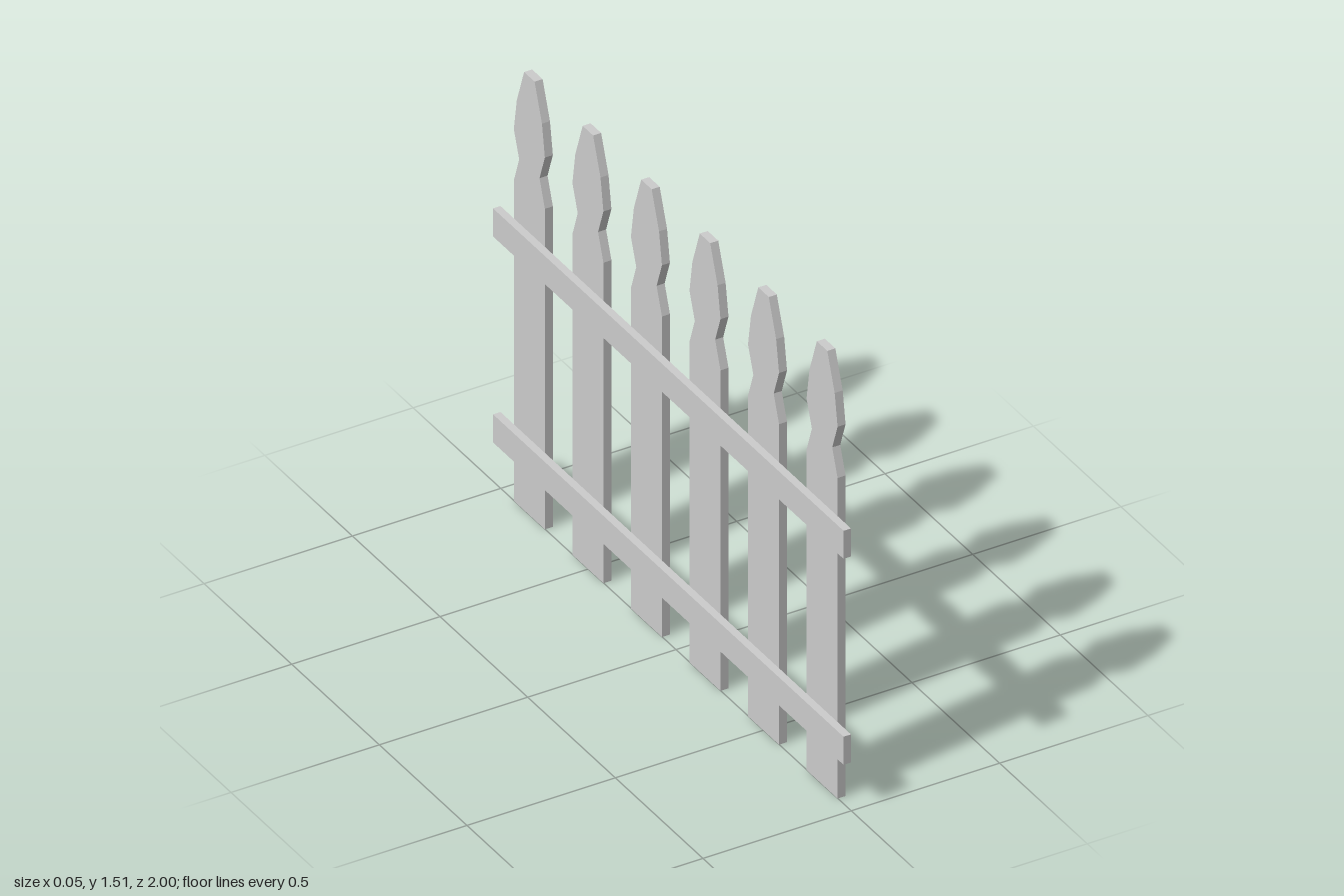
import * as THREE from 'three';

const PICKETS = 6;
const SPACING = 0.334;
const PLANE = -0.001; // where the pickets meet the rails
const HALF_DEPTH = 0.026;

// Right half of the picket outline: [half width, height], bottom to top
const PROFILE = [
  [0.0885, 0], [0.0885, 1.108], [0.058, 1.197], [0.0885, 1.285], [0.072, 1.393], [0.03, 1.515],
];

function picketGeometry() {
  const right = PROFILE.map(([w, y]) => new THREE.Vector2(w, y));
  const left = PROFILE.map(([w, y]) => new THREE.Vector2(-w, y)).reverse();
  const geometry = new THREE.ExtrudeGeometry(new THREE.Shape([...right, ...left]), {
    depth: HALF_DEPTH - PLANE, bevelEnabled: false,
  });
  // Turn the board so its thickness runs along x
  return geometry.rotateY(Math.PI / 2).translate(PLANE, 0, 0);
}

export function createModel() {
  const fence = new THREE.Group();
  fence.name = 'picketFence';
  const material = new THREE.MeshStandardMaterial({ color: 0xcccccc, flatShading: true });

  // Upright boards with pointed, waisted tops
  const board = picketGeometry();
  for (let i = 0; i < PICKETS; i++) {
    const picket = new THREE.Mesh(board, material);
    picket.name = `picket${i + 1}`;
    picket.position.z = (i - (PICKETS - 1) / 2) * SPACING;
    fence.add(picket);
  }

  // Two horizontal rails behind the boards
  const thickness = HALF_DEPTH + PLANE;
  const bar = new THREE.BoxGeometry(thickness, 0.097, 2);
  for (const [name, y] of [['lowerRail', 0.216], ['upperRail', 0.928]]) {
    const rail = new THREE.Mesh(bar, material);
    rail.name = name;
    rail.position.set(PLANE - thickness / 2, y, 0);
    fence.add(rail);
  }
  return fence;
}
